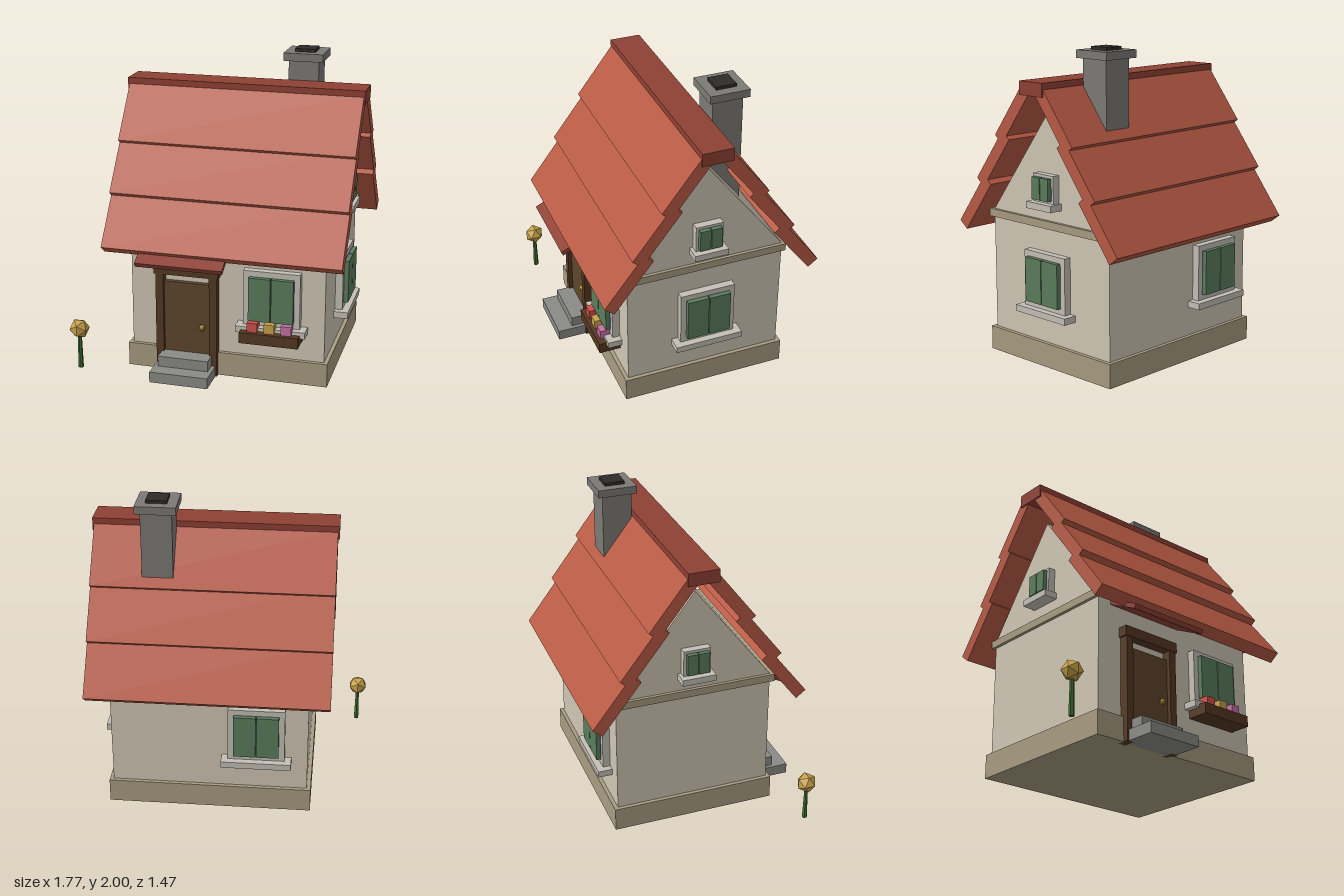
import * as THREE from 'three';

const C = {
  wall: 0xcfc6b4, plinth: 0xa89c82, roof: 0xb85a44, ridge: 0x8f4134, stone: 0x8a8a86, chimney: 0x7c7a76,
  dark: 0x2e2b2a, wood: 0x553822, door: 0x5e452c, frame: 0xc4c0b6, pane: 0x5a7d5c, glass: 0x4a5570,
  knob: 0xb08a35, stem: 0x3f7030, blossom: 0xc9a24a,
};
const mats = {};
const mat = (color) => (mats[color] ??= new THREE.MeshStandardMaterial({ color, flatShading: true }));

function add(parent, name, geometry, color, x = 0, y = 0, z = 0) {
  const mesh = new THREE.Mesh(geometry, mat(color));
  mesh.name = name;
  mesh.position.set(x, y, z);
  parent.add(mesh);
  return mesh;
}

// Box given by its limits on each axis
function box(parent, name, color, [x0, x1], [y0, y1], [z0, z1]) {
  return add(parent, name, new THREE.BoxGeometry(x1 - x0, y1 - y0, z1 - z0), color,
    (x0 + x1) / 2, (y0 + y1) / 2, (z0 + z1) / 2);
}

// Sloping slab, placed by its lower outer edge; side 1 falls to the front, -1 to the back
function slab(parent, name, color, [x0, x1], y, z, side, angle, length, thick) {
  const c = Math.cos(angle), s = Math.sin(angle);
  const mesh = add(parent, name, new THREE.BoxGeometry(x1 - x0, thick, length), color, (x0 + x1) / 2,
    y + s * length / 2 - c * thick / 2, z - side * (c * length / 2 + s * thick / 2));
  mesh.rotation.x = side * angle;
}

// Window facing +z from the wall, with frame, two green leaves and a sill
function windowUnit(parent, name, w, [y0, y1], margin, sillW, sillH, x, z, turn) {
  const g = new THREE.Group();
  g.name = name;
  g.position.set(x, 0, z);
  g.rotation.y = turn;
  parent.add(g);
  const p = w / 2 - margin, low = y0 + sillH + margin, high = y1 - margin;
  box(g, 'windowFrame', C.frame, [-w / 2, w / 2], [y0, y1], [-0.01, 0.048]);
  box(g, 'windowGlass', C.glass, [-p, p], [low, high], [0, 0.054]);
  for (const s of [-1, 1]) {
    box(g, 'windowLeaf', C.pane, s < 0 ? [-p, -0.003] : [0.003, p], [low, high], [0, 0.078]);
  }
  box(g, 'windowSill', C.frame, [-sillW / 2, sillW / 2], [y0, y0 + sillH], [-0.01, 0.092]);
}

export function createModel() {
  const house = new THREE.Group();
  house.name = 'cottage';
  const zc = -0.025;
  const wallX = [-0.515, 0.74];

  // Walls, plinth and the band under the gables
  box(house, 'plinth', C.plinth, [-0.54, 0.765], [0, 0.155], [-0.565, 0.515]);
  box(house, 'walls', C.wall, wallX, [0.1, 0.92], [-0.54, 0.49]);
  box(house, 'gableBand', C.plinth, [-0.535, 0.76], [0.89, 0.94], [-0.56, 0.515]);

  // Gable prism, extruded along x
  const tri = new THREE.Shape([[-0.53, 0.92], [0.53, 0.92], [0, 1.61]].map(([a, b]) => new THREE.Vector2(a, b)));
  const gable = add(house, 'gables',
    new THREE.ExtrudeGeometry(tri, { depth: wallX[1] - wallX[0], bevelEnabled: false }), C.wall, wallX[0], 0, zc);
  gable.rotation.y = Math.PI / 2;

  // Roof of three overlapping courses on each slope, and the ridge cap
  const roof = new THREE.Group();
  roof.name = 'roof';
  house.add(roof);
  for (const side of [1, -1]) {
    for (const [d, y] of [[0.705, 0.855], [0.525, 1.157], [0.342, 1.45]]) {
      slab(roof, 'roofCourse', C.roof, [-0.65, 0.87], y, zc + side * d, side, 0.916, 0.41, 0.08);
    }
  }
  box(roof, 'ridgeCap', C.ridge, [-0.66, 0.88], [1.72, 1.805], [-0.125, 0.075]);

  // Chimney
  box(house, 'chimneyStack', C.chimney, [0.35, 0.545], [1.05, 1.94], [-0.325, -0.13]);
  box(house, 'chimneyCap', C.chimney, [0.32, 0.575], [1.93, 1.98], [-0.357, -0.102]);
  box(house, 'chimneyFlue', C.dark, [0.382, 0.513], [1.96, 2.0], [-0.295, -0.164]);

  // Door with its frame, canopy and steps
  box(house, 'door', C.door, [-0.29, 0.012], [0.05, 0.61], [0.45, 0.522]);
  add(house, 'doorKnob', new THREE.SphereGeometry(0.02, 8, 6), C.knob, -0.04, 0.32, 0.535);
  for (const x of [-0.34, 0.01]) {
    box(house, 'doorPost', C.wood, [x, x + 0.05], [0, 0.67], [0.47, 0.548]);
  }
  box(house, 'doorLintel', C.wood, [-0.35, 0.07], [0.665, 0.73], [0.47, 0.552]);
  slab(house, 'doorCanopy', C.ridge, [-0.42, 0.14], 0.787, 0.717, 1, 0.45, 0.25, 0.03);
  box(house, 'lowerStep', C.stone, [-0.33, 0.05], [0, 0.07], [0.5, 0.735]);
  box(house, 'upperStep', C.stone, [-0.305, 0.025], [0.07, 0.138], [0.5, 0.635]);

  // Windows: front, back, left side, and one in each gable
  const big = [0.36, [0.34, 0.74], 0.037, 0.445, 0.042];
  windowUnit(house, 'frontWindow', ...big, 0.41, 0.49, 0);
  windowUnit(house, 'backWindow', ...big, -0.19, -0.54, Math.PI);
  windowUnit(house, 'sideWindow', ...big, wallX[1], zc, Math.PI / 2);
  for (const [x, turn] of [[wallX[1], Math.PI / 2], [wallX[0], -Math.PI / 2]]) {
    windowUnit(house, 'gableWindow', 0.178, [1.02, 1.235], 0.017, 0.22, 0.042, x, zc, turn);
  }

  // Flower box under the front window
  box(house, 'flowerBox', C.wood, [0.225, 0.6], [0.29, 0.36], [0.49, 0.63]);
  [0xd0504a, 0xc9a24a, 0xc770a8].forEach((color, i) => {
    const x = 0.27 + i * 0.108;
    box(house, 'boxFlower', color, [x, x + 0.065], [0.35, 0.42], [0.543, 0.607]);
  });

  // Free-standing flower beside the house
  add(house, 'flowerStem', new THREE.CylinderGeometry(0.012, 0.018, 0.24, 6), C.stem, -0.83, 0.12, 0.635);
  add(house, 'flowerHead', new THREE.IcosahedronGeometry(0.066, 0), C.blossom, -0.83, 0.27, 0.635);

  return house;
}
